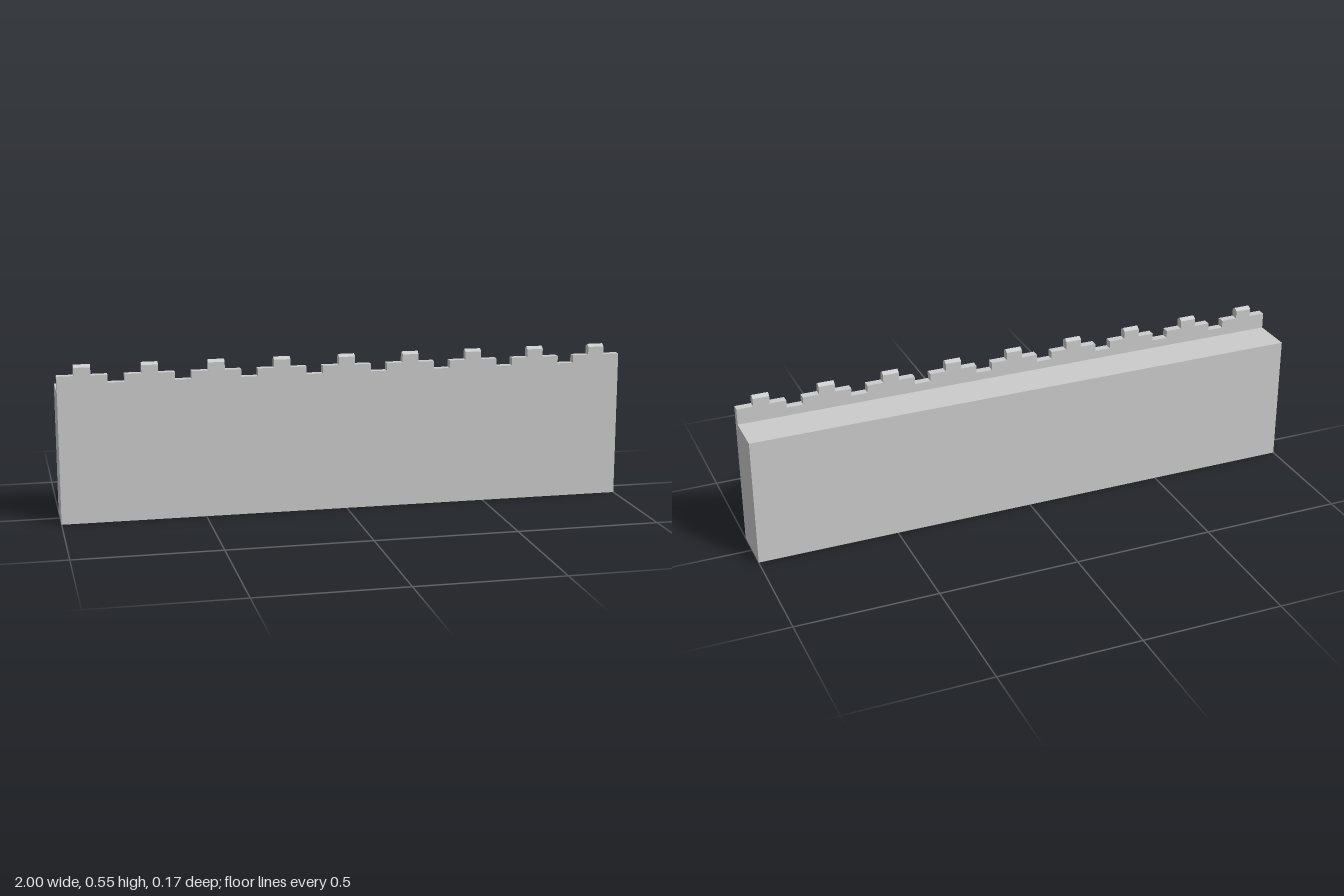
import * as THREE from 'three';

const LENGTH = 2, UNITS = 35, UNIT = LENGTH / UNITS;
const BACK = -0.086, FRONT = 0.086, PARAPET_BACK = 0.058;
const WALK = 0.459, NOTCH = 0.489, STEP = 0.516, EAVE = 0.544, RIDGE = 0.553;

export function createModel() {
  const group = new THREE.Group();
  const material = new THREE.MeshStandardMaterial({ color: 0xcccccc, flatShading: true });
  const add = (name, geometry) => {
    const mesh = new THREE.Mesh(geometry, material);
    mesh.name = name;
    group.add(mesh);
    return mesh;
  };

  // Solid wall, its top forming the walkway
  add('wallBody', new THREE.BoxGeometry(LENGTH, WALK, FRONT - BACK))
    .position.set(0, WALK / 2, (FRONT + BACK) / 2);

  // Thin parapet along the front edge, cut by a notch every fourth unit
  const outline = new THREE.Shape();
  outline.moveTo(-LENGTH / 2, WALK);
  outline.lineTo(LENGTH / 2, WALK);
  outline.lineTo(LENGTH / 2, STEP);
  for (let i = UNITS - 4; i >= 3; i -= 4) {
    const left = -LENGTH / 2 + i * UNIT, right = left + UNIT;
    outline.lineTo(right, STEP);
    outline.lineTo(right, NOTCH);
    outline.lineTo(left, NOTCH);
    outline.lineTo(left, STEP);
  }
  outline.lineTo(-LENGTH / 2, STEP);
  const parapet = new THREE.ExtrudeGeometry(outline, { depth: FRONT - PARAPET_BACK, bevelEnabled: false });
  add('parapet', parapet).position.z = PARAPET_BACK;

  // Merlons with small ridged tops: cross-section (-z, y) extruded along x
  const section = new THREE.Shape([
    [-FRONT, STEP], [-PARAPET_BACK, STEP], [-PARAPET_BACK, EAVE],
    [-(FRONT + PARAPET_BACK) / 2, RIDGE], [-FRONT, EAVE],
  ].map(([x, y]) => new THREE.Vector2(x, y)));
  const merlon = new THREE.ExtrudeGeometry(section, { depth: UNIT, bevelEnabled: false });
  merlon.rotateY(Math.PI / 2);
  for (let i = 1; i < UNITS; i += 4) {
    add('merlon', merlon).position.x = -LENGTH / 2 + i * UNIT;
  }

  return group;
}
